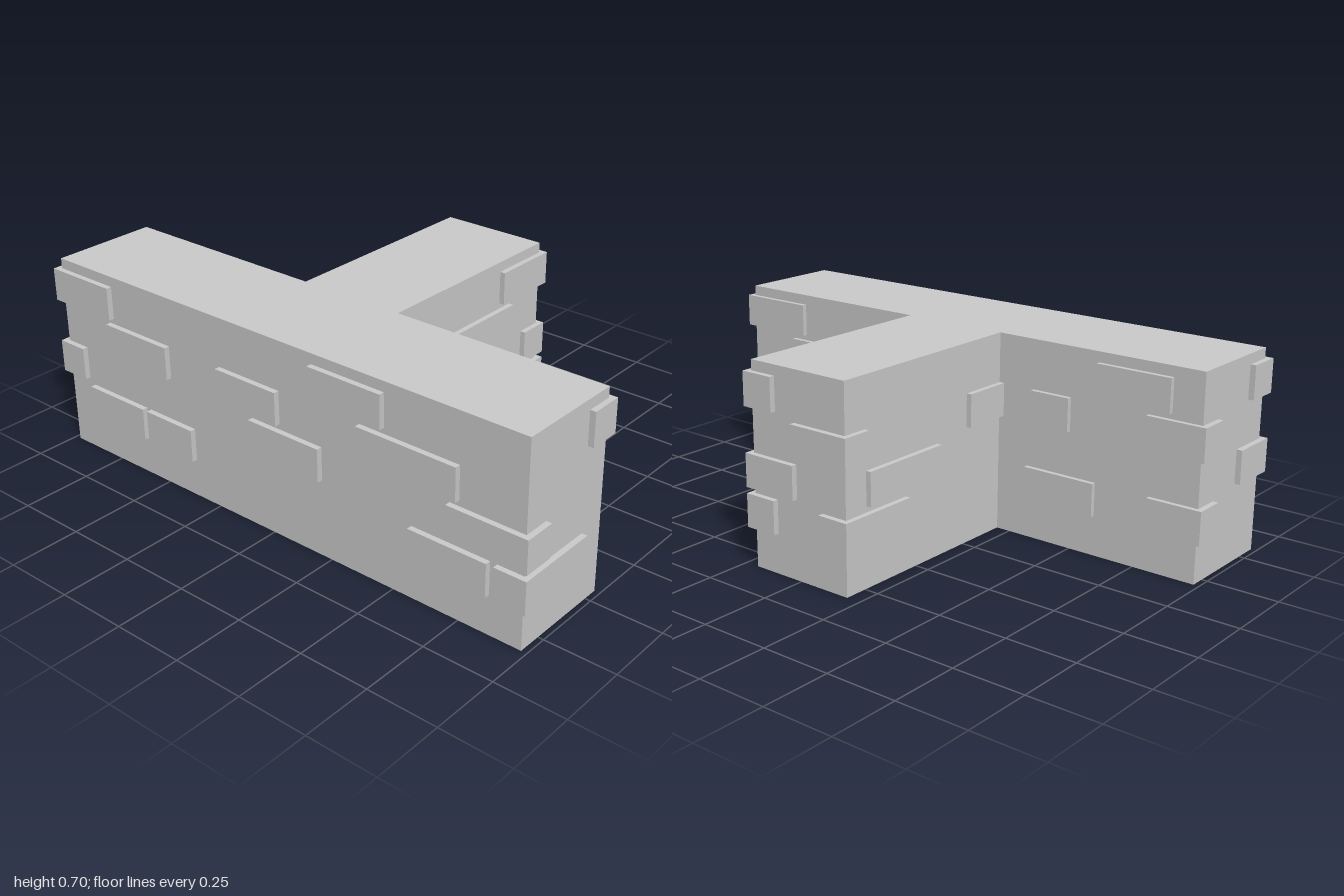
import * as THREE from 'three';

export function createModel() {
  const group = new THREE.Group();
  const mat = new THREE.MeshStandardMaterial({ color: 0xcccccc, flatShading: true, side: THREE.DoubleSide });
  const add = (parent, name, geo) => {
    const mesh = new THREE.Mesh(geo, mat);
    mesh.name = name;
    parent.add(mesh);
    return mesh;
  };

  // T-shaped wall shell, open underneath: [x, z] outline
  const H = 0.705;
  const outline = [
    [-0.98, 0.585], [0.98, 0.585], [0.98, 0.197], [0.198, 0.197],
    [0.198, -0.585], [-0.198, -0.585], [-0.198, 0.197], [-0.98, 0.197],
  ];
  const wall = new THREE.Group();
  wall.name = 'wall';
  group.add(wall);
  const shape = new THREE.Shape(outline.map(([x, z]) => new THREE.Vector2(x, -z)));
  add(wall, 'wallTop', new THREE.ShapeGeometry(shape).rotateX(-Math.PI / 2)).position.y = H;
  outline.forEach(([x0, z0], i) => {
    const [x1, z1] = outline[(i + 1) % outline.length];
    const side = add(wall, 'wallSide', new THREE.PlaneGeometry(Math.hypot(x1 - x0, z1 - z0), H));
    side.position.set((x0 + x1) / 2, H / 2, (z0 + z1) / 2);
    side.rotation.y = -Math.atan2(z1 - z0, x1 - x0);
  });

  // Protruding bricks, embedded in the wall; rows counted from the top
  const rows = [0.61, 0.473, 0.337, 0.199];
  const T = 0.115;
  const brickGroup = (name) => {
    const g = new THREE.Group();
    g.name = name;
    group.add(g);
    return (row, x0, x1, z0, z1) =>
      add(g, 'brick', new THREE.BoxGeometry(x1 - x0, 0.117, z1 - z0))
        .position.set((x0 + x1) / 2, rows[row], (z0 + z1) / 2);
  };

  // Front face: [row, x0, x1]
  const front = brickGroup('frontBricks');
  for (const [r, a, b] of [
    [0, 0.18, 0.465], [1, -0.745, -0.455], [1, -0.22, 0.04], [1, 0.37, 0.745],
    [2, -0.08, 0.215], [3, -0.86, -0.59], [3, -0.57, -0.355], [3, 0.57, 0.86],
  ]) front(r, a, b, 0.605 - T, 0.605);

  // Rear face of the cross wall: [row, x0, x1]
  const back = brickGroup('backBricks');
  for (const [r, a, b] of [
    [0, -0.87, -0.595], [1, -0.49, -0.34], [3, -0.595, -0.32],
    [1, 0.37, 0.77], [2, 0.5, 0.82], [3, 0.335, 0.63],
  ]) back(r, a, b, 0.18, 0.18 + T);

  // Both sides of the stem: [side, row, z0, z1]
  const stem = brickGroup('stemBricks');
  for (const [s, r, a, b] of [
    [1, 1, 0.06, 0.26], [1, 1, -0.41, -0.06], [1, 2, -0.275, 0.115],
    [-1, 1, 0.015, 0.26], [-1, 2, -0.49, -0.14],
  ]) {
    const x = s * (0.217 - T / 2);
    stem(r, x - T / 2, x + T / 2, a, b);
  }

  // Bricks that wrap the outer corners: [row, x0, x1, z0, z1]
  const corner = brickGroup('cornerBricks');
  for (const c of [
    [0, -1, -0.725, 0.485, 0.605], [2, -1, -0.885, 0.43, 0.605],
    [2, 0.71, 1, 0.49, 0.605], [3, 0.885, 1, 0.295, 0.605],
    [0, 0.71, 1, 0.18, 0.295], [1, -1, -0.785, 0.18, 0.29], [3, -1, -0.8, 0.18, 0.29],
    [0, 0.097, 0.217, -0.605, -0.353], [1, -0.217, 0.015, -0.605, -0.495],
    [2, 0.01, 0.217, -0.605, -0.49], [3, 0.097, 0.217, -0.605, -0.39],
    [3, -0.217, -0.1, -0.605, -0.3],
  ]) corner(...c);

  return group;
}
